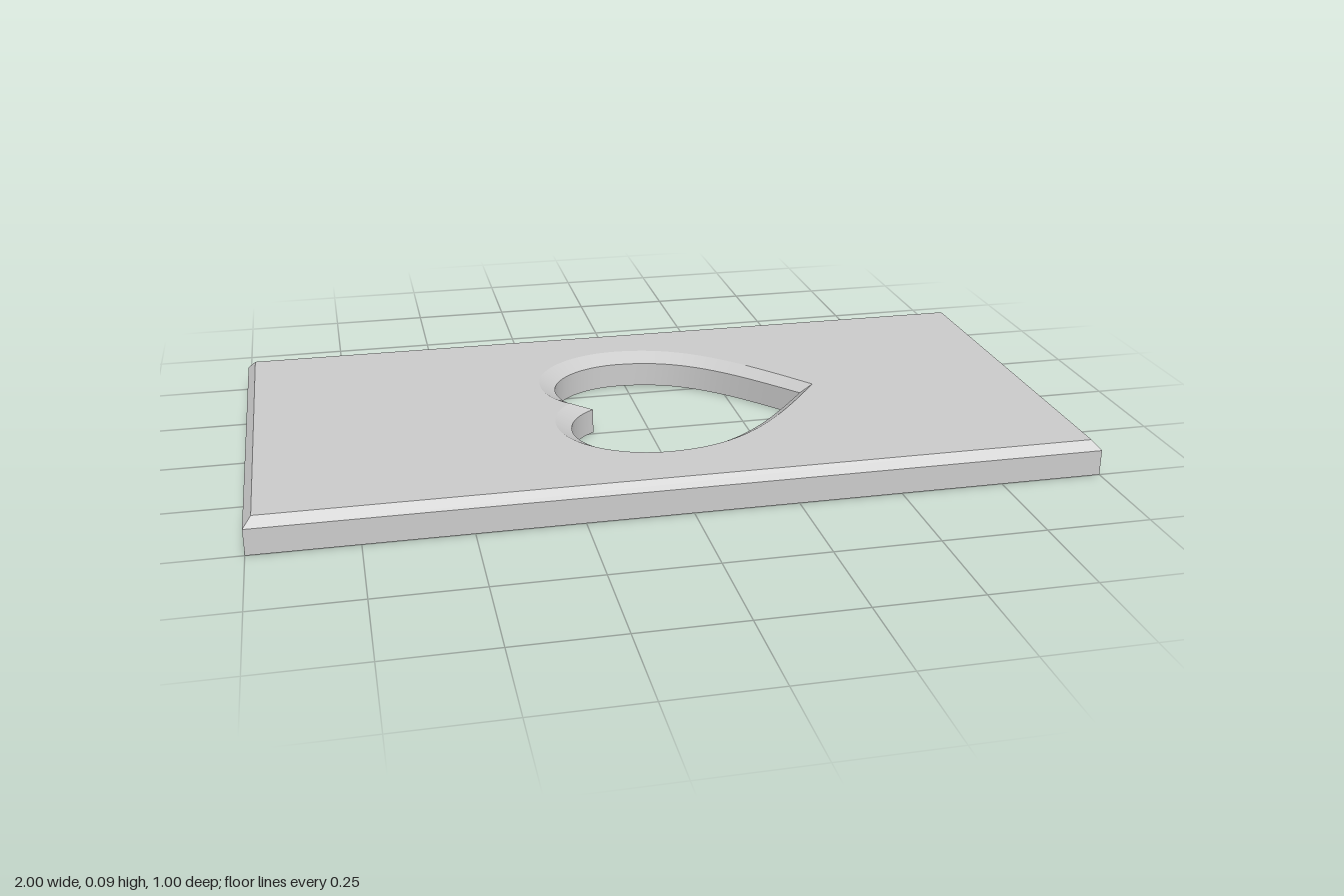
import * as THREE from 'three';
import { toCreasedNormals } from 'three/addons/utils/BufferGeometryUtils.js';

const HEIGHT = 0.085, SHOULDER = 0.063, CHAMFER = 0.02, HEART_Z = -0.009;
const V = (x, y) => new THREE.Vector2(x, y);
const material = new THREE.MeshStandardMaterial({ color: 0xcccccc });

// Closed heart outline in (x, z): half a heart from notch to tip, then mirrored
function heartLoop(notch, left, lobeX, lobeZ, tip, pull) {
  const midZ = 0.133;
  const curves = [
    [V(notch, 0), V(notch + (left - notch) * 0.64, 0.03), V(left, 0.08), V(left, midZ)],
    [V(left, midZ), V(left, midZ + (lobeZ - midZ) * 0.55), V(lobeX + (left - lobeX) * 0.55, lobeZ), V(lobeX, lobeZ)],
    [V(lobeX, lobeZ), V(pull[0], lobeZ), V(pull[1], pull[2]), V(tip, 0)],
  ];
  const half = [V(notch, 0)];
  for (const c of curves) half.push(...new THREE.CubicBezierCurve(...c).getPoints(20).slice(1));
  const mirrored = half.slice(1, -1).reverse().map((p) => V(p.x, -p.y));
  return [...half, ...mirrored].reverse().map((p) => V(p.x, p.y + HEART_Z));
}

const rectLoop = (w, d) => [V(-w, -d), V(-w, d), V(w, d), V(w, -d)];

// Band of quads joining two matching loops at different heights
function band(lower, yLower, upper, yUpper) {
  const n = lower.length, pos = [], index = [];
  lower.forEach((p) => pos.push(p.x, yLower, p.y));
  upper.forEach((p) => pos.push(p.x, yUpper, p.y));
  for (let i = 0; i < n; i++) {
    const j = (i + 1) % n;
    index.push(i, j, n + j, i, n + j, n + i);
  }
  const g = new THREE.BufferGeometry();
  g.setAttribute('position', new THREE.Float32BufferAttribute(pos, 3));
  g.setIndex(index);
  return toCreasedNormals(g, Math.PI / 6);
}

// Flat face with a hole, facing up or down
function face(outline, hole, y, up) {
  const shape = new THREE.Shape(outline);
  shape.holes.push(new THREE.Path(hole));
  const g = new THREE.ShapeGeometry(shape);
  g.rotateX(Math.PI / 2).translate(0, y, 0);
  if (up) {
    g.index.array.reverse();
    g.computeVertexNormals();
  }
  return g;
}

export function createModel() {
  const group = new THREE.Group();
  const add = (name, geometry) => {
    const mesh = new THREE.Mesh(geometry, material);
    mesh.name = name;
    group.add(mesh);
  };

  const base = rectLoop(1, 0.5);
  const rim = rectLoop(1 - CHAMFER, 0.5 - CHAMFER);
  const heart = heartLoop(-0.142, -0.217, -0.02, 0.303, 0.404, [0.16, 0.26, 0.18]);
  const heartRim = heartLoop(-0.2, -0.257, -0.02, 0.345, 0.437, [0.17, 0.28, 0.21]);

  // Slab
  add('bottomFace', face(base, heart, 0, false));
  add('topFace', face(rim, heartRim, HEIGHT, true));
  add('sideWalls', band(base, 0, base, SHOULDER));
  add('edgeChamfer', band(base, SHOULDER, rim, HEIGHT));

  // Heart-shaped opening with a wide, shallow bevel
  add('heartWall', band(heart, 0, heart, SHOULDER));
  add('heartBevel', band(heart, SHOULDER, heartRim, HEIGHT));
  return group;
}
